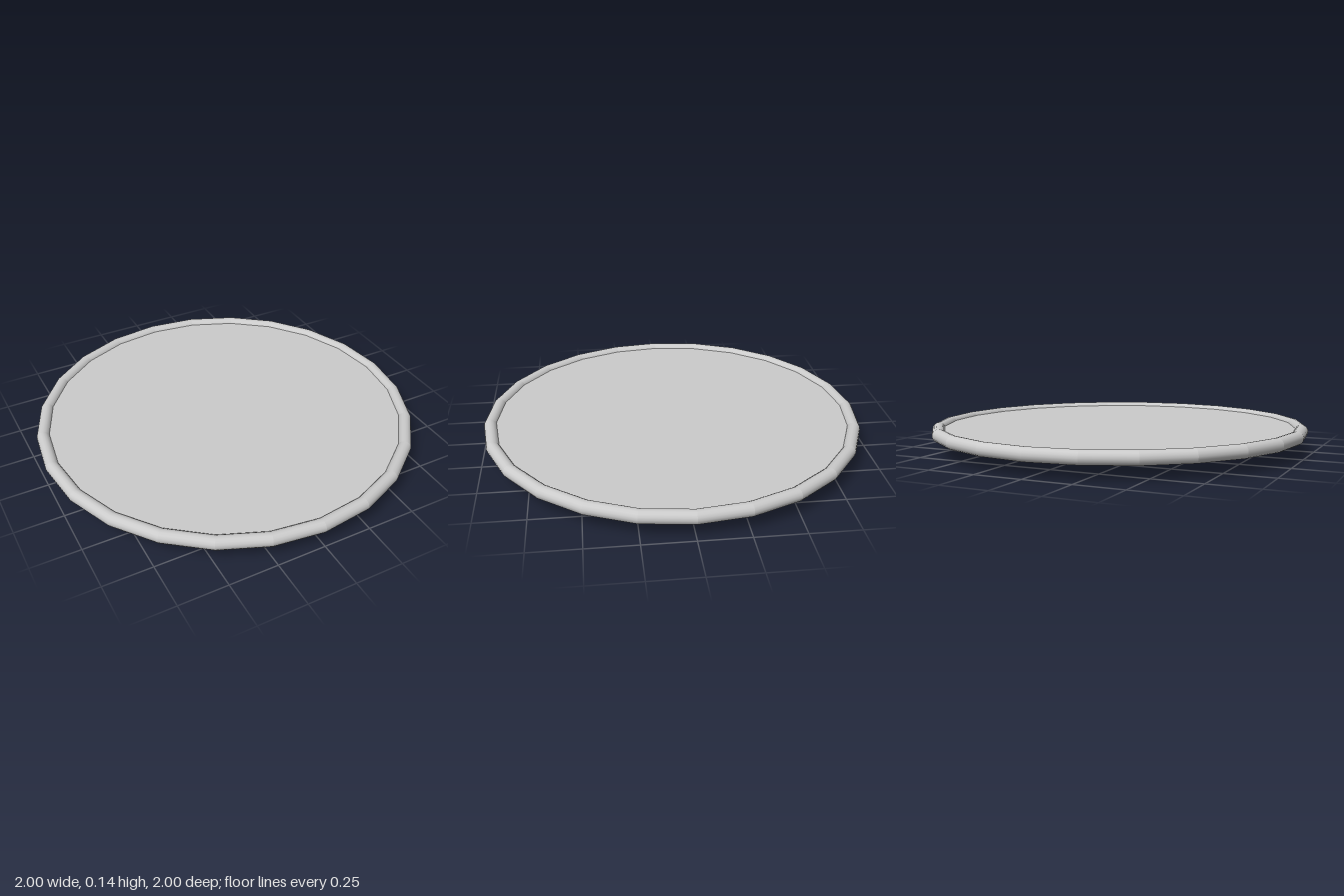
import * as THREE from 'three';

const SIDES = 24;

// Ring that is round in section but has visible facets around its circumference.
function facetedRing(radius, tube, sections) {
  const geo = new THREE.TorusGeometry(radius, tube, sections, SIDES).rotateX(-Math.PI / 2).toNonIndexed();
  const pos = geo.attributes.position;
  const normal = geo.attributes.normal;
  const step = (Math.PI * 2) / SIDES;
  for (let i = 0; i < pos.count; i += 3) {
    let cx = 0, cz = 0;
    for (let k = i; k < i + 3; k++) { cx += pos.getX(k); cz += pos.getZ(k); }
    // middle direction of the facet this triangle belongs to
    const a = (Math.floor(Math.atan2(cz, cx) / step) + 0.5) * step;
    for (let k = i; k < i + 3; k++) {
      const out = (Math.hypot(pos.getX(k), pos.getZ(k)) - radius) / tube;
      normal.setXYZ(k, Math.cos(a) * out, pos.getY(k) / tube, Math.sin(a) * out);
    }
  }
  return geo;
}

export function createModel() {
  const group = new THREE.Group();
  const smooth = new THREE.MeshStandardMaterial({ color: 0xcccccc });
  const flat = new THREE.MeshStandardMaterial({ color: 0xcccccc, flatShading: true, side: THREE.DoubleSide });

  const add = (name, geo, mat, y) => {
    const mesh = new THREE.Mesh(geo, mat);
    mesh.name = name;
    mesh.position.y = y;
    group.add(mesh);
  };

  // flat plate, its edge buried in the rounded rim
  add('plate', new THREE.CylinderGeometry(0.96, 0.96, 0.03, SIDES), flat, 0.105);
  add('rim', facetedRing(0.965, 0.035, 16), smooth, 0.105);

  // small raised ring on the underside
  add('undersideRing', facetedRing(0.485, 0.012, 10), smooth, 0.086);

  // hollow foot, open at the bottom
  add('foot', new THREE.CylinderGeometry(0.285, 0.285, 0.092, SIDES, 1, true), flat, 0.046);

  return group;
}
